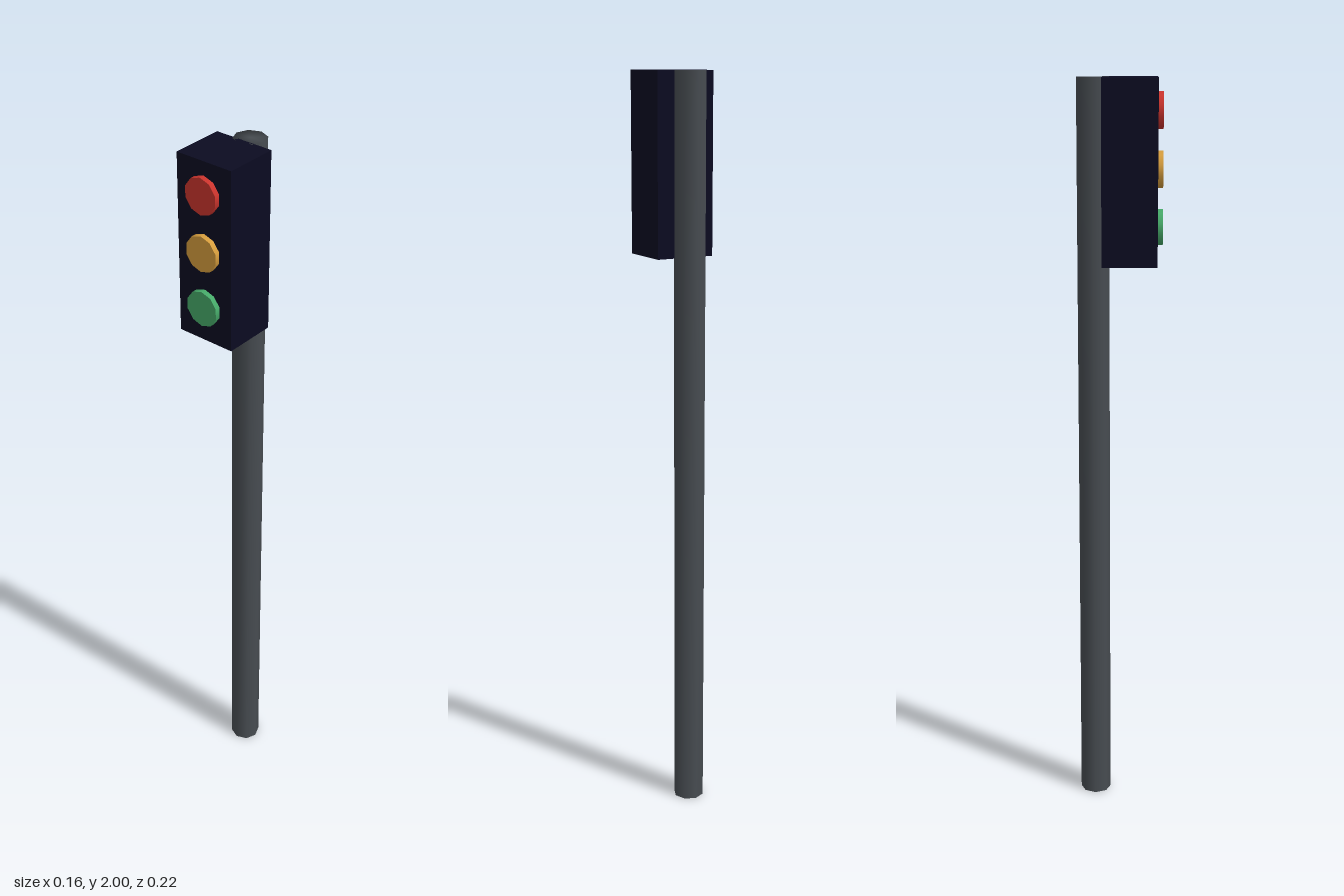
import * as THREE from 'three';
import { mergeVertices } from 'three/addons/utils/BufferGeometryUtils.js';

const material = (name, color) => {
  const m = new THREE.MeshStandardMaterial({ color });
  m.name = name;
  return m;
};

// Share corners between side and cap so the shading runs smoothly over the rim
function smooth(geometry) {
  geometry.deleteAttribute('uv');
  geometry.deleteAttribute('normal');
  const merged = mergeVertices(geometry, 1e-4);
  merged.computeVertexNormals();
  return merged;
}

export function createModel() {
  const group = new THREE.Group();
  group.name = 'trafficLight';

  const add = (name, geometry, mat, x, y, z) => {
    const mesh = new THREE.Mesh(geometry, mat);
    mesh.name = name;
    mesh.position.set(x, y, z);
    group.add(mesh);
    return mesh;
  };

  // Eight-sided pole behind the housing
  add('pole', smooth(new THREE.CylinderGeometry(0.042, 0.042, 2, 8)),
    material('dark grey', 0x474c51), 0, 1, -0.07);

  // Signal housing
  add('housing', new THREE.BoxGeometry(0.162, 0.472, 0.144),
    material('midnight blue', 0x0b0b21), 0, 1.764, 0.025);

  // Three ten-sided lamps, slightly sunk into the front face
  const lampGeometry = new THREE.CylinderGeometry(0.047, 0.047, 0.02, 10).rotateX(Math.PI / 2);
  const lamps = [
    ['redLamp', 'red', 0xcb342d],
    ['amberLamp', 'amber', 0xd69d3d],
    ['greenLamp', 'green', 0x46aa69],
  ];
  lamps.forEach(([name, colorName, color], i) => {
    add(name, lampGeometry, material(colorName, color), 0, 1.918 - i * 0.148, 0.101);
  });

  return group;
}
